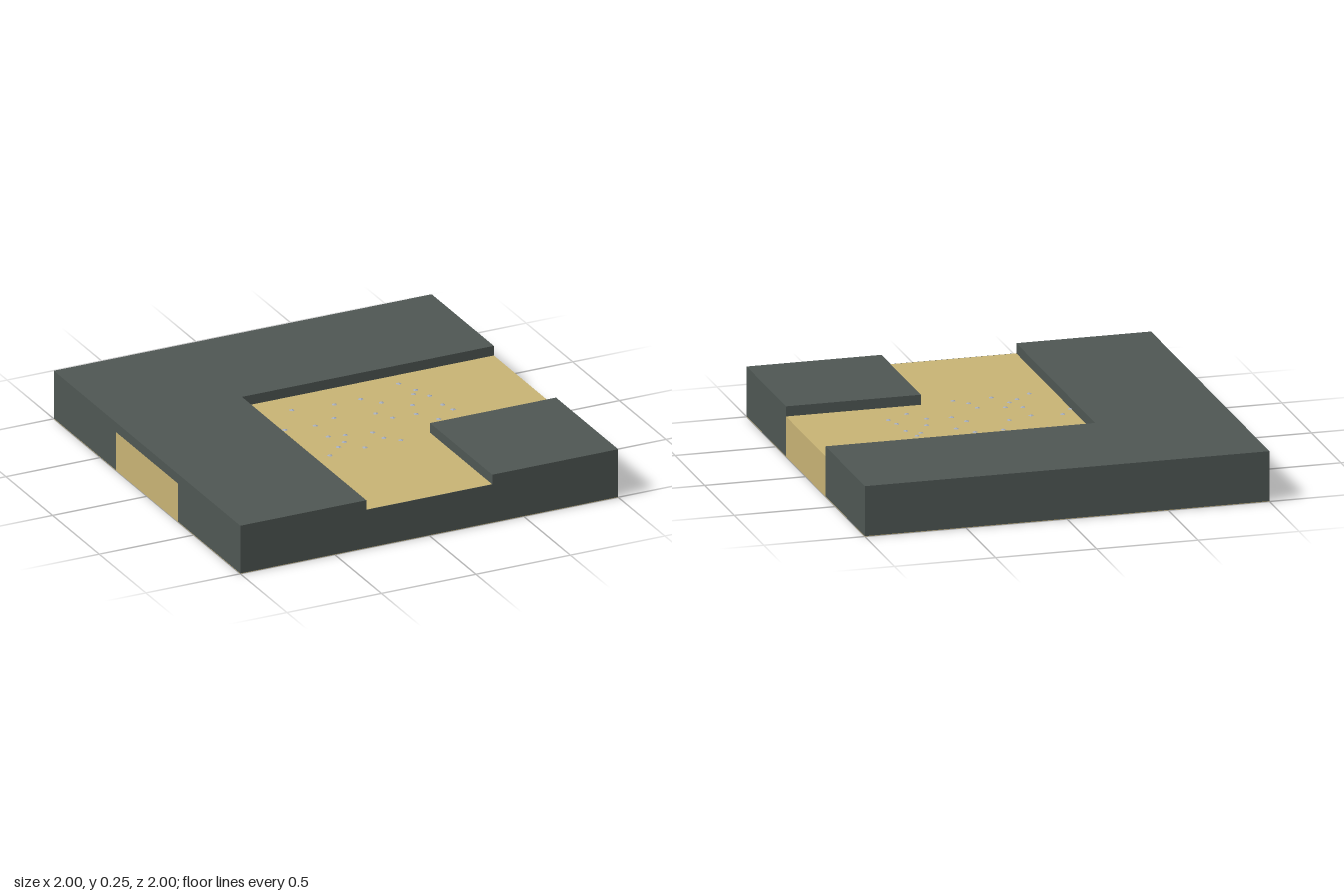
import * as THREE from 'three';

const rock = new THREE.MeshStandardMaterial({ color: 0x4f5754 });
const sand = new THREE.MeshStandardMaterial({ color: 0xc9b475 });
const pebble = new THREE.MeshStandardMaterial({ color: 0xa3abbb, flatShading: true });

const T = 1 / 3;      // path half width
const FLOOR = 0.2;    // path height
const TOP = 0.25;     // wall height
const BASE = 0.002;   // underside sheet thickness

// Box given by its min and max corners
function block(name, material, [x0, y0, z0], [x1, y1, z1]) {
  const geometry = new THREE.BoxGeometry(x1 - x0, y1 - y0, z1 - z0);
  geometry.translate((x0 + x1) / 2, (y0 + y1) / 2, (z0 + z1) / 2);
  const mesh = new THREE.Mesh(geometry, material);
  mesh.name = name;
  return mesh;
}

export function createModel() {
  const group = new THREE.Group();
  group.name = 'cornerPathTile';

  // Sand underside and the two arms of the path
  group.add(
    block('underside', sand, [-1, 0, -1], [1, BASE, 1]),
    block('pathAcross', sand, [-1, BASE, -T], [1, FLOOR, T]),
    block('pathToFront', sand, [-T, BASE, T], [T, FLOOR, 0.998]),
  );

  // Raised rock around the path, with a rock face closing the front
  group.add(
    block('backWall', rock, [-1, BASE, -1], [1, TOP, -T]),
    block('sideWallFront', rock, [-1, BASE, T], [-T, TOP, 1]),
    block('sideWallMiddle', rock, [-1, FLOOR, -T], [-T, TOP, T]),
    block('cornerBlock', rock, [T, BASE, T], [1, TOP, 1]),
    block('frontFace', rock, [-T, BASE, 0.998], [T, FLOOR, 1]),
  );

  // Small flat pebbles scattered over the path
  const spots = [
    [-0.14, -0.19], [0.07, -0.16], [0.21, -0.16], [0.45, -0.24], [0.49, -0.14],
    [0.28, -0.08], [0.46, -0.1], [0.52, -0.05], [-0.27, 0], [-0.12, 0.02],
    [0, -0.02], [0.2, 0.02], [0.4, 0.01], [0.53, 0.07], [0.25, 0.1],
    [0.37, 0.11], [0.55, 0.14], [-0.12, 0.16], [-0.04, 0.18], [0.09, 0.21],
    [0.44, 0.21], [-0.08, 0.25], [-0.13, 0.29], [0.11, 0.29], [-0.21, 0.36],
    [-0.02, 0.35], [0.17, 0.35], [-0.33, 0.07],
  ];
  const pebbles = new THREE.Group();
  pebbles.name = 'pebbles';
  const shape = new THREE.ConeGeometry(0.014, 0.006, 5);
  spots.forEach(([x, z], i) => {
    const mesh = new THREE.Mesh(shape, pebble);
    mesh.name = 'pebble';
    mesh.position.set(x, FLOOR + 0.003, z);
    mesh.rotation.y = i * 1.7;
    pebbles.add(mesh);
  });
  group.add(pebbles);

  return group;
}
